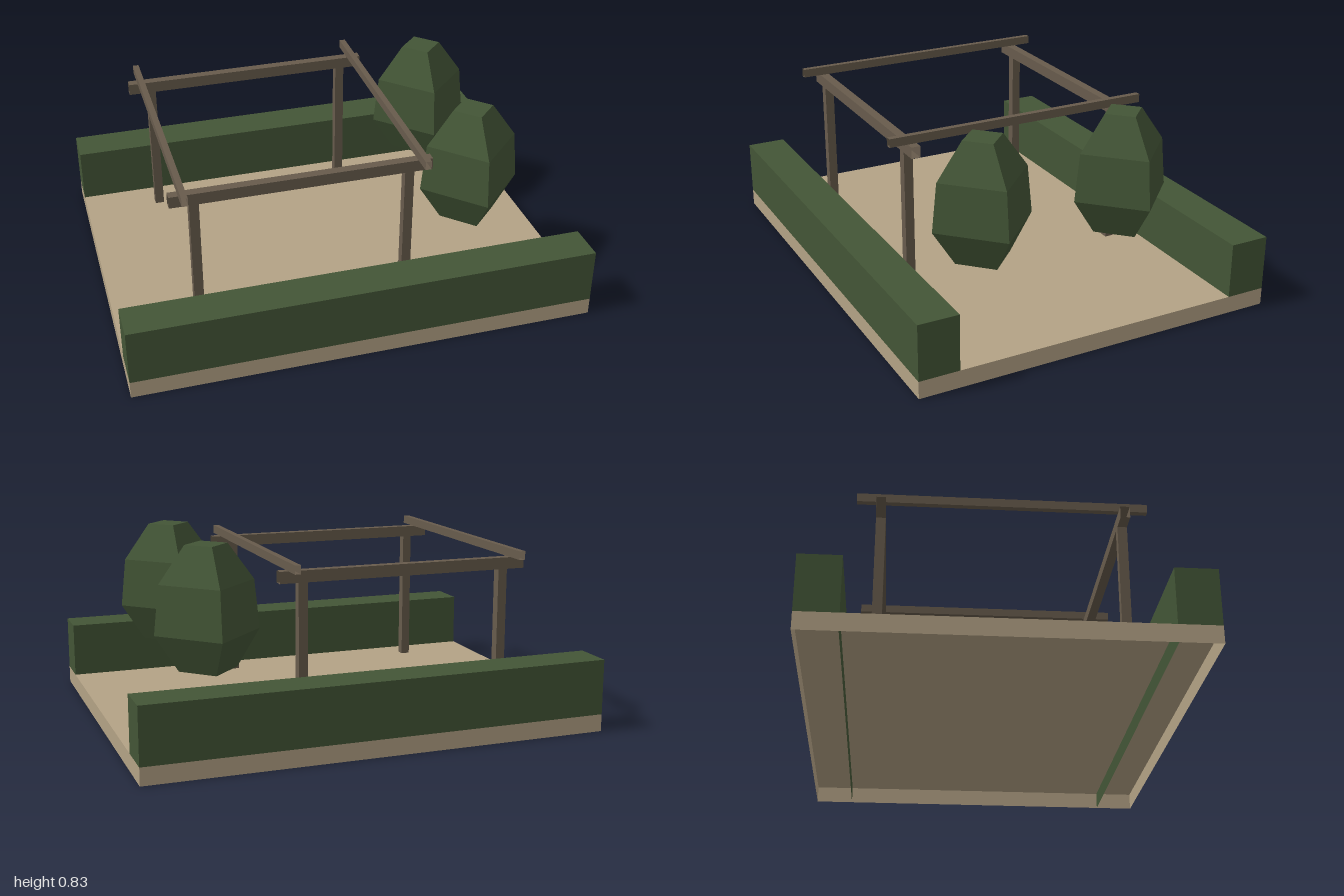
import * as THREE from 'three';

const mat = (name, color) => {
  const m = new THREE.MeshStandardMaterial({ color, side: THREE.DoubleSide, flatShading: true });
  m.name = name;
  return m;
};

// Box given by its limits, with some sides left open (0..5 = +x -x +y -y +z -z)
function openBox([x0, x1], [y0, y1], [z0, z1], open) {
  const g = new THREE.BoxGeometry(x1 - x0, y1 - y0, z1 - z0);
  g.setIndex([...g.index.array].filter((_, i) => !open.includes(Math.floor(i / 6))));
  g.clearGroups();
  return g.translate((x0 + x1) / 2, (y0 + y1) / 2, (z0 + z1) / 2);
}

export function createModel() {
  const model = new THREE.Group();
  model.name = 'garden';
  const sand = mat('sand', 0xb3a285);
  const leaf = mat('leaf green', 0x435536);
  const wood = mat('dark wood', 0x675b4c);

  const add = (name, geometry, material, parent = model) => {
    const mesh = new THREE.Mesh(geometry, material);
    mesh.name = name;
    parent.add(mesh);
    return mesh;
  };

  const groundY = 0.075;
  // Ground slab, hollow underneath
  add('ground', openBox([-1, 1], [0, groundY], [-0.8, 0.8], [3]), sand);

  // Hedges along front and back, with the inner side continued below ground level
  for (const s of [-1, 1]) {
    const hedge = new THREE.Group();
    hedge.name = s > 0 ? 'frontHedge' : 'backHedge';
    model.add(hedge);
    const z = s > 0 ? [0.627, 0.8] : [-0.8, -0.627];
    add('hedgeBody', openBox([-1, 1], [groundY, 0.315], z, [3]), leaf, hedge);
    const skirt = new THREE.PlaneGeometry(1.998, groundY);
    if (s > 0) skirt.rotateY(Math.PI);
    add('hedgeSkirt', skirt.translate(0, groundY / 2, s * 0.627), leaf, hedge);
  }

  // Pergola: four posts, two long beams and two cross beams, all open at the ends
  const pergola = new THREE.Group();
  pergola.name = 'pergola';
  model.add(pergola);
  for (const z of [-0.5, 0.5]) {
    const zs = [z - 0.02, z + 0.02];
    for (const x of [-0.655, 0.25]) {
      add('post', openBox([x - 0.02, x + 0.02], [groundY, 0.678], zs, [2, 3]), wood, pergola);
    }
    add('longBeam', openBox([-0.755, 0.35], [0.678, 0.728], zs, [0, 1]), wood, pergola);
  }
  for (const x of [-0.703, 0.3]) {
    add('crossBeam', openBox([x - 0.013, x + 0.013], [0.728, 0.765], [-0.6, 0.6], [4, 5]), wood, pergola);
  }

  // Two four-sided shrubs
  const profile = [[0, 0.302], [0.125, 0.302], [0.225, 0.46], [0.203, 0.67], [0.091, 0.827], [0, 0.827]];
  const crown = new THREE.LatheGeometry(profile.map(([r, y]) => new THREE.Vector2(r, y)), 4);
  for (const z of [-0.326, 0.326]) {
    add(z > 0 ? 'frontShrub' : 'backShrub', crown, leaf).position.set(0.6, 0, z);
  }
  return model;
}
